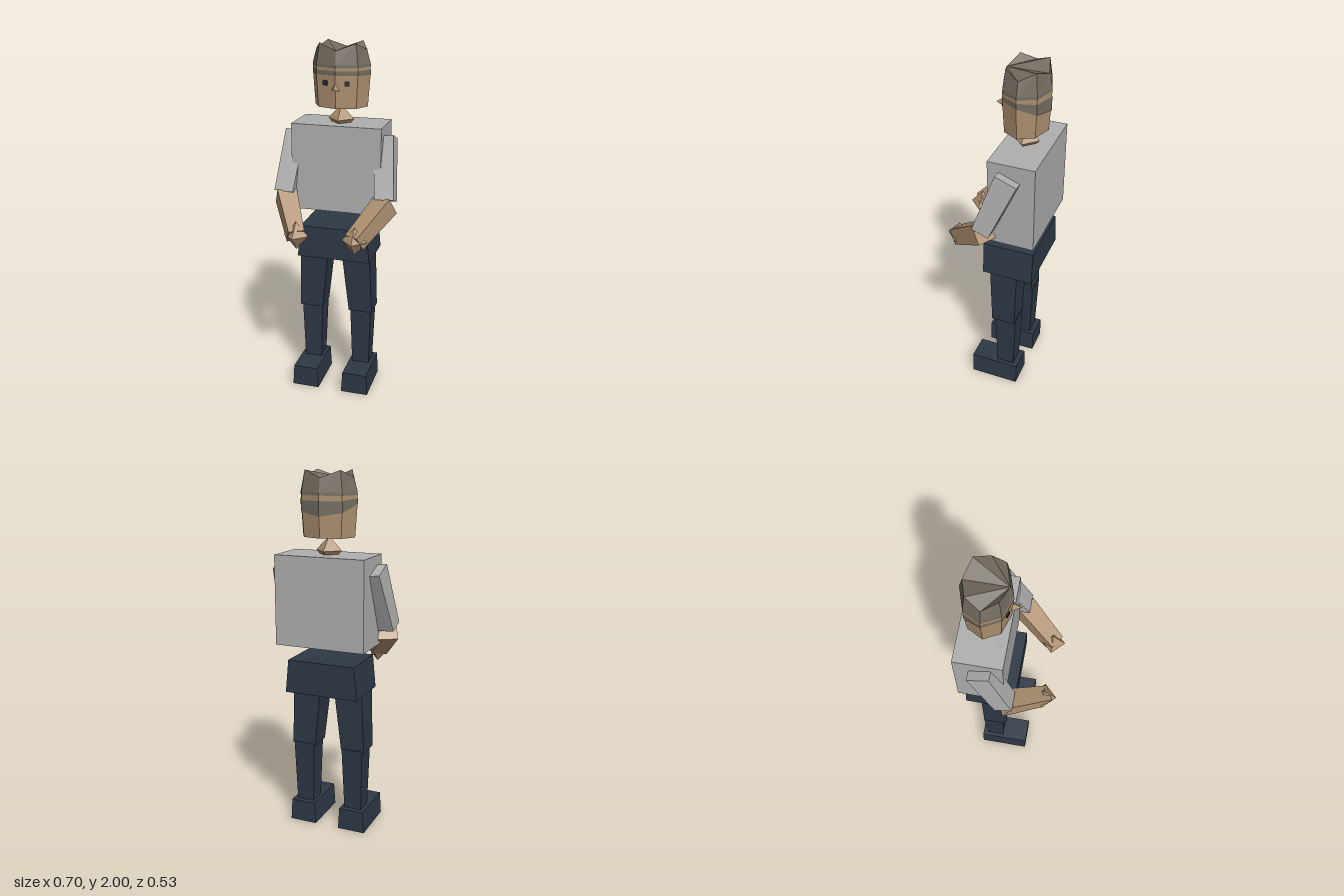
import * as THREE from 'three';
import { ConvexGeometry } from 'three/addons/geometries/ConvexGeometry.js';

const mat = (name, color) => {
  const m = new THREE.MeshStandardMaterial({ color, flatShading: true });
  m.name = name;
  return m;
};
const V = (x, y, z) => new THREE.Vector3(x, y, z);

export function createModel() {
  const skin = mat('skin', 0xae9070);
  const shirt = mat('shirt grey', 0xafafaf);
  const navy = mat('navy', 0x2e3846);
  const hair = mat('hair', 0x736c60);
  const dark = mat('eye dark', 0x242a34);

  const model = new THREE.Group();
  model.name = 'figure';
  model.position.x = 0.003;

  const add = (name, geometry, material) => {
    const mesh = new THREE.Mesh(geometry, material);
    mesh.name = name;
    model.add(mesh);
    return mesh;
  };
  // Horizontal rectangle at height y: x range, z range
  const rect = (y, x0, x1, z0, z1) => [V(x0, y, z0), V(x1, y, z0), V(x1, y, z1), V(x0, y, z1)];
  // Solid block between cross-sections, on one side (s = 1 or -1)
  const block = (name, material, points, s = 1) =>
    add(name, new ConvexGeometry(points.map((p) => V(p.x * s, p.y, p.z))), material);

  // Torso and pelvis
  block('torso', shirt, [...rect(1.08, -0.253, 0.253, -0.265, -0.011), ...rect(1.567, -0.253, 0.253, -0.265, -0.011)]);
  block('pelvis', navy, [...rect(0.81, -0.21, 0.21, -0.245, 0.04), ...rect(0.995, -0.192, 0.192, -0.245, 0.04)]);

  for (const s of [1, -1]) {
    const side = s > 0 ? 'left' : 'right';

    // Legs
    block(side + 'Thigh', navy, [...rect(0.82, 0.042, 0.203, -0.157, 0), ...rect(0.475, 0.08, 0.217, -0.15, -0.015)], s);
    block(side + 'Shin', navy, [...rect(0.485, 0.085, 0.207, -0.155, -0.03), ...rect(0.12, 0.097, 0.197, -0.14, -0.04)], s);
    block(side + 'Foot', navy, [...rect(0, 0.07, 0.228, -0.17, 0.113), ...rect(0.125, 0.078, 0.22, -0.17, 0.113)], s);

    // Sleeve, swinging forward and slightly outward
    block(side + 'Sleeve', shirt, [
      V(0.305, 1.525, -0.072), V(0.305, 1.48, -0.187), V(0.195, 1.51, -0.072), V(0.195, 1.465, -0.187),
      V(0.34, 1.195, 0.045), V(0.34, 1.16, -0.047), V(0.233, 1.19, 0.045), V(0.233, 1.155, -0.047),
    ], s);

    // Forearm: square section tapering from elbow to wrist
    const elbow = V(0.288, 1.155, -0.003), wrist = V(0.165, 0.995, 0.2);
    const d = wrist.clone().sub(elbow).normalize();
    const u = V(d.z, 0, -d.x).normalize();
    const v = new THREE.Vector3().crossVectors(d, u);
    const square = (c, h) => [[1, 1], [1, -1], [-1, 1], [-1, -1]].map(([a, b]) =>
      c.clone().addScaledVector(u, a * h).addScaledVector(v, b * h));
    block(side + 'Forearm', skin, [...square(elbow, 0.055), ...square(wrist, 0.044)], s);

    // Hand
    const hand = add(side + 'Hand', new THREE.OctahedronGeometry(0.07), skin);
    hand.scale.y = 1.13;
    hand.position.set(s * 0.164, 0.997, 0.194);

    // Eye plate lying on the angled face
    const eye = add(side + 'Eye', new THREE.BoxGeometry(0.026, 0.026, 0.008), dark);
    eye.position.set(s * 0.06, 1.795, -0.0195);
    eye.rotation.y = s * 0.32;
  }

  // Neck
  add('neck', new THREE.OctahedronGeometry(0.074), skin).position.set(0, 1.587, -0.125);

  // Eight-sided head; vertex 0 points forward
  const CZ = -0.127;
  const at = (i, y, k) => {
    const a = (i * Math.PI) / 4;
    return V(Math.sin(a) * 0.163 * k, y, CZ + Math.cos(a) * 0.128 * k);
  };
  const ring = (y, k) => Array.from({ length: 8 }, (_, i) => at(i, typeof y === 'function' ? y(i) : y, k));
  block('head', skin, [...ring(1.66, 0.91), ...ring(1.83, 0.985), ...ring(1.885, 0.985)]);

  // Walls between stacked rings, with an optional lid fanned from the front vertex
  const shell = (rings, lid) => {
    const p = [];
    const tri = (...q) => q.forEach((c) => p.push(c.x, c.y, c.z));
    for (let r = 0; r + 1 < rings.length; r++) {
      const lo = rings[r], hi = rings[r + 1];
      for (let i = 0; i < 8; i++) {
        const j = (i + 1) % 8;
        tri(lo[i], lo[j], hi[j]);
        tri(lo[i], hi[j], hi[i]);
      }
    }
    const top = rings[rings.length - 1];
    if (lid) for (let i = 1; i < 7; i++) tri(top[0], top[i], top[i + 1]);
    const g = new THREE.BufferGeometry();
    g.setAttribute('position', new THREE.Float32BufferAttribute(p, 3));
    g.computeVertexNormals();
    return g;
  };

  // Crown of hair with peaks on the diagonal corners
  add('hairCrown', shell([
    ring(1.875, 0.99), ring(1.89, 0.985), ring((i) => (i % 2 ? 2.0 : 1.963), 0.86),
  ], true), hair);

  // Lower strip of hair, dipping at the back
  const dip = [1.837, 1.835, 1.83, 1.79, 1.77, 1.79, 1.83, 1.835];
  add('hairStrip', shell([
    ring((i) => dip[i], 0.995), ring((i) => (i > 2 && i < 6 ? 1.848 : 1.86), 0.998),
  ], false), hair);

  // Nose
  block('nose', skin, [V(0, 1.797, -0.005), V(-0.024, 1.757, -0.01), V(0.024, 1.757, -0.01), V(0, 1.765, 0.038)]);

  return model;
}
